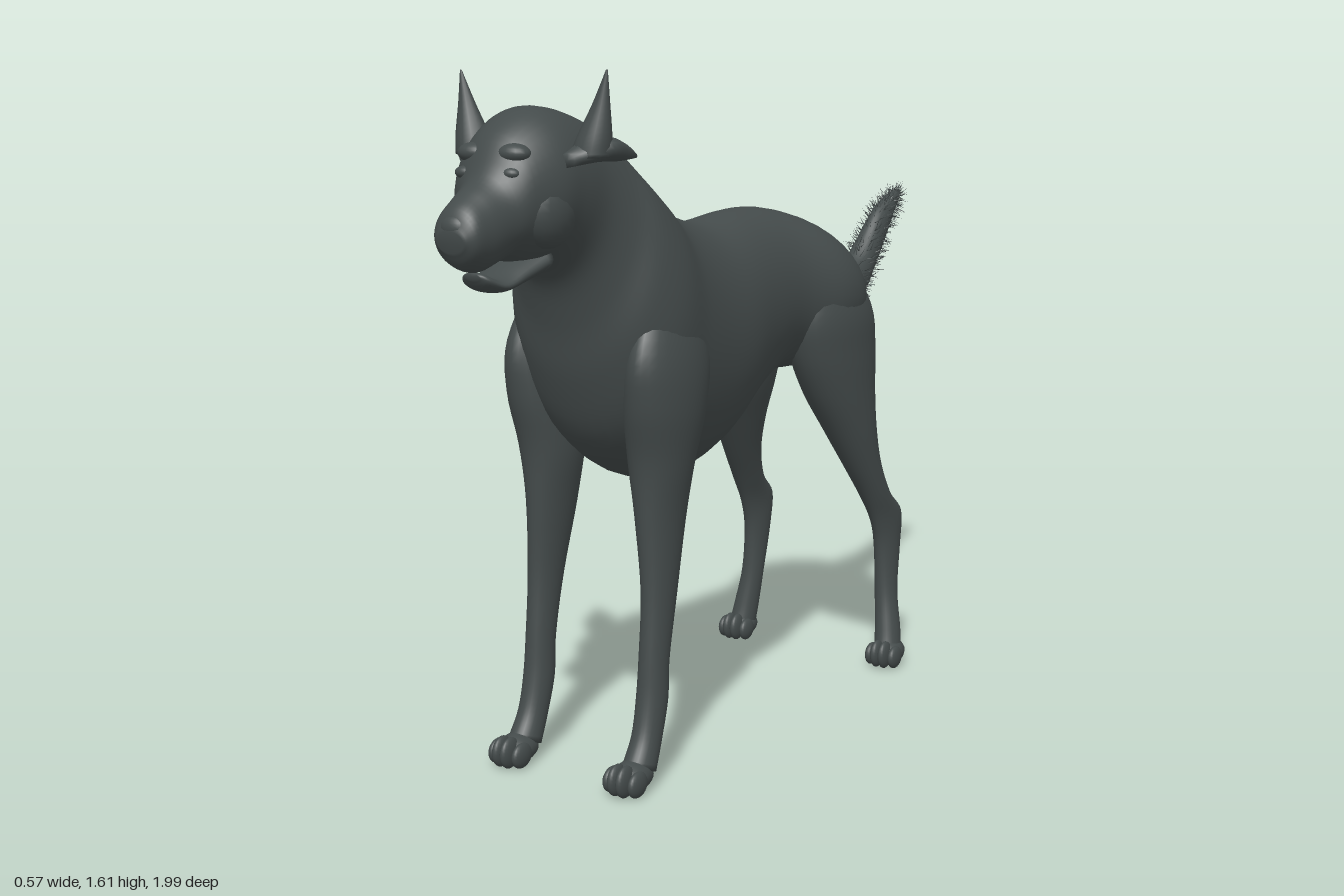
import * as THREE from 'three';

const coat = new THREE.MeshStandardMaterial({ color: 0x444b4b, side: THREE.DoubleSide });
coat.name = 'charcoal coat';

// Smooth skin over ribs. A rib is [yA, zA, yB, zB, halfWidth, x]:
// an oval from point A to point B in the side plane, centred on x.
function loftGeometry(ribs, side = 1, sides = 28, steps = 5) {
  const curve = (f) => new THREE.CatmullRomCurve3(ribs.map(f), false, 'catmullrom', 0.5);
  const curveA = curve((r) => new THREE.Vector3(0, r[0], r[1]));
  const curveB = curve((r) => new THREE.Vector3(0, r[2], r[3]));
  const curveW = curve((r) => new THREE.Vector3(r[4], r[5] * side, 0));
  const n = (ribs.length - 1) * steps;
  const pos = [], index = [];
  for (let i = -1; i <= n + 1; i++) {
    const t = THREE.MathUtils.clamp(i / n, 0, 1);
    const closed = i < 0 || i > n;            // end rings shrink to a point
    const a = curveA.getPoint(t), b = curveB.getPoint(t), w = curveW.getPoint(t);
    for (let j = 0; j < sides; j++) {
      const ang = (j / sides) * Math.PI * 2;
      const c = closed ? 0 : Math.cos(ang) / 2, s = closed ? 0 : Math.sin(ang);
      pos.push(w.y + s * Math.max(w.x, 0.001),
        (a.y + b.y) / 2 + c * (a.y - b.y), (a.z + b.z) / 2 + c * (a.z - b.z));
    }
  }
  for (let i = 0; i < n + 2; i++) for (let j = 0; j < sides; j++) {
    const k = (j + 1) % sides, p = i * sides, q = p + sides;
    index.push(p + j, q + j, p + k, p + k, q + j, q + k);
  }
  const g = new THREE.BufferGeometry();
  g.setAttribute('position', new THREE.Float32BufferAttribute(pos, 3));
  g.setIndex(index);
  g.computeVertexNormals();
  return g;
}

function add(parent, name, geometry) {
  const m = new THREE.Mesh(geometry, coat);
  m.name = name;
  parent.add(m);
  return m;
}

function blob(parent, name, center, radii, tilt = 0) {
  const m = add(parent, name, new THREE.SphereGeometry(1, 20, 14));
  m.position.set(...center);
  m.scale.set(...radii);
  m.rotation.x = tilt;
  return m;
}

// Paw with a pad and four toes; z is the heel
function paw(parent, name, x, z, length) {
  const g = new THREE.Group();
  g.name = name;
  parent.add(g);
  blob(g, 'pad', [x, 0.036, z + length * 0.42], [0.043, 0.036, length * 0.43]);
  for (let i = 0; i < 4; i++) {
    const u = i - 1.5, inner = Math.abs(u) < 1;
    blob(g, 'toe', [x + u * 0.023, inner ? 0.038 : 0.031, z + length * (inner ? 0.75 : 0.64)],
      [0.0145, inner ? 0.037 : 0.03, length * 0.25]);
  }
}

// Short hairs standing out from a surface
function furGeometry(base, count, length) {
  let seed = 7;
  const rand = () => (seed = (seed * 16807) % 2147483647) / 2147483647;
  const p = base.attributes.position, nor = base.attributes.normal, pos = [];
  for (let i = 0; i < count; i++) {
    const k = Math.floor(rand() * p.count);
    const root = new THREE.Vector3().fromBufferAttribute(p, k);
    const dir = new THREE.Vector3().fromBufferAttribute(nor, k);
    dir.add(new THREE.Vector3(rand() - 0.5, rand() - 0.3, rand() - 0.9)).normalize();
    const across = new THREE.Vector3(rand() - 0.5, rand() - 0.5, rand() - 0.5).cross(dir).setLength(0.0015);
    const tip = root.clone().addScaledVector(dir, length * (0.5 + rand() * 0.5));
    for (const v of [root.clone().add(across), root.clone().sub(across), tip]) pos.push(v.x, v.y, v.z);
  }
  const g = new THREE.BufferGeometry();
  g.setAttribute('position', new THREE.Float32BufferAttribute(pos, 3));
  g.computeVertexNormals();
  return g;
}

export function createModel() {
  const dog = new THREE.Group();
  dog.name = 'dog';

  // Rump, barrel, chest, neck, skull and upper muzzle in one skin
  add(dog, 'body', loftGeometry([
    [1.08, -0.52, 0.97, -0.515, 0.06, 0],
    [1.14, -0.49, 0.89, -0.48, 0.16, 0],
    [1.205, -0.4, 0.85, -0.4, 0.215, 0.005],
    [1.245, -0.3, 0.84, -0.3, 0.22, 0.005],
    [1.268, -0.17, 0.84, -0.18, 0.172, 0.005],
    [1.265, -0.04, 0.775, -0.05, 0.168, 0.005],
    [1.25, 0.1, 0.69, 0.1, 0.195, 0],
    [1.27, 0.21, 0.655, 0.25, 0.208, 0],
    [1.305, 0.3, 0.68, 0.4, 0.22, 0],
    [1.355, 0.37, 0.78, 0.53, 0.228, 0],
    [1.41, 0.44, 0.92, 0.595, 0.205, 0],
    [1.46, 0.5, 1.05, 0.625, 0.165, 0],
    [1.505, 0.58, 1.15, 0.66, 0.143, 0],
    [1.532, 0.68, 1.2, 0.72, 0.142, 0],
    [1.53, 0.76, 1.205, 0.78, 0.138, 0],
    [1.48, 0.84, 1.22, 0.84, 0.108, 0.003],
    [1.4, 0.89, 1.215, 0.87, 0.08, 0.008],
    [1.365, 0.94, 1.2, 0.925, 0.068, 0.01],
    [1.335, 0.98, 1.215, 0.97, 0.058, 0.012],
    [1.29, 1.0, 1.245, 0.992, 0.035, 0.012],
  ], 1, 40));

  // Open lower jaw
  add(dog, 'lowerJaw', loftGeometry([
    [1.25, 0.74, 1.18, 0.75, 0.08, 0],
    [1.215, 0.81, 1.165, 0.8, 0.065, 0.003],
    [1.185, 0.87, 1.153, 0.865, 0.052, 0.008],
    [1.2, 0.915, 1.165, 0.91, 0.038, 0.01],
    [1.2, 0.93, 1.185, 0.928, 0.018, 0.01],
  ]));
  blob(dog, 'nose', [0.012, 1.295, 0.978], [0.036, 0.028, 0.022]);

  // Tail dips behind the rump, then sweeps up to a thin tip
  const tail = loftGeometry([
    [1.02, -0.4, 1.2, -0.38, 0.07, 0.01],
    [1.03, -0.5, 1.14, -0.49, 0.07, 0.015],
    [0.975, -0.555, 1.105, -0.55, 0.06, 0.02],
    [0.935, -0.62, 1.075, -0.625, 0.052, 0.02],
    [0.965, -0.7, 1.095, -0.69, 0.045, 0.02],
    [1.045, -0.775, 1.145, -0.75, 0.038, 0.022],
    [1.13, -0.85, 1.215, -0.82, 0.03, 0.024],
    [1.205, -0.91, 1.255, -0.89, 0.022, 0.025],
    [1.245, -0.955, 1.27, -0.945, 0.012, 0.025],
  ]);
  add(dog, 'tail', tail);
  add(dog, 'tailFur', furGeometry(tail, 1400, 0.032));

  blob(dog, 'sheath', [0, 0.805, -0.11], [0.028, 0.035, 0.075], -0.6);

  for (const side of [1, -1]) {
    const label = side > 0 ? 'left' : 'right';

    // Foreleg from shoulder to wrist
    add(dog, label + 'Foreleg', loftGeometry([
      [1.16, 0.49, 1.14, 0.34, 0.03, 0.16],
      [1.0, 0.575, 0.98, 0.31, 0.065, 0.17],
      [0.88, 0.575, 0.85, 0.33, 0.077, 0.165],
      [0.75, 0.545, 0.73, 0.365, 0.07, 0.155],
      [0.62, 0.535, 0.6, 0.385, 0.05, 0.155],
      [0.45, 0.53, 0.43, 0.425, 0.036, 0.162],
      [0.3, 0.54, 0.28, 0.46, 0.033, 0.163],
      [0.2, 0.55, 0.19, 0.468, 0.035, 0.163],
      [0.12, 0.57, 0.1, 0.495, 0.034, 0.164],
      [0.06, 0.605, 0.03, 0.525, 0.038, 0.165],
    ], side));
    paw(dog, label + 'FrontPaw', 0.165 * side, 0.535, 0.135);

    // Hind leg: thigh, knee, hock and pastern
    add(dog, label + 'HindLeg', loftGeometry([
      [1.15, -0.23, 1.12, -0.43, 0.05, 0.13],
      [1.0, -0.19, 1.0, -0.51, 0.09, 0.14],
      [0.89, -0.205, 0.89, -0.525, 0.095, 0.142],
      [0.78, -0.255, 0.78, -0.51, 0.084, 0.153],
      [0.67, -0.325, 0.67, -0.5, 0.065, 0.172],
      [0.57, -0.39, 0.57, -0.515, 0.048, 0.188],
      [0.48, -0.45, 0.48, -0.56, 0.038, 0.2],
      [0.4, -0.495, 0.415, -0.628, 0.033, 0.206],
      [0.32, -0.518, 0.32, -0.617, 0.031, 0.208],
      [0.2, -0.52, 0.2, -0.59, 0.03, 0.214],
      [0.1, -0.505, 0.1, -0.58, 0.034, 0.227],
      [0.04, -0.49, 0.03, -0.57, 0.036, 0.235],
    ], side));
    paw(dog, label + 'HindPaw', 0.237 * side, -0.582, 0.128);

    // Upright ear spike with a folded flap below it
    add(dog, label + 'Ear', loftGeometry([
      [1.43, 0.67, 1.43, 0.75, 0.045, 0.155],
      [1.47, 0.675, 1.47, 0.742, 0.04, 0.163],
      [1.54, 0.69, 1.54, 0.722, 0.02, 0.18],
      [1.61, 0.704, 1.61, 0.707, 0.002, 0.195],
    ], side, 12));
    add(dog, label + 'EarFlap', loftGeometry([
      [1.41, 0.765, 1.44, 0.765, 0.02, 0.135],
      [1.42, 0.7, 1.475, 0.7, 0.045, 0.165],
      [1.42, 0.64, 1.46, 0.64, 0.03, 0.178],
      [1.425, 0.6, 1.435, 0.6, 0.006, 0.19],
    ], side, 12));

    // Closed eyelid, brow and cheek
    blob(dog, label + 'Eyelid', [0.06 * side, 1.4, 0.858], [0.024, 0.014, 0.018]);
    blob(dog, label + 'Brow', [0.052 * side, 1.44, 0.836], [0.04, 0.022, 0.03]);
    blob(dog, label + 'Cheek', [0.085 * side, 1.32, 0.77], [0.053, 0.08, 0.075]);
  }
  return dog;
}
